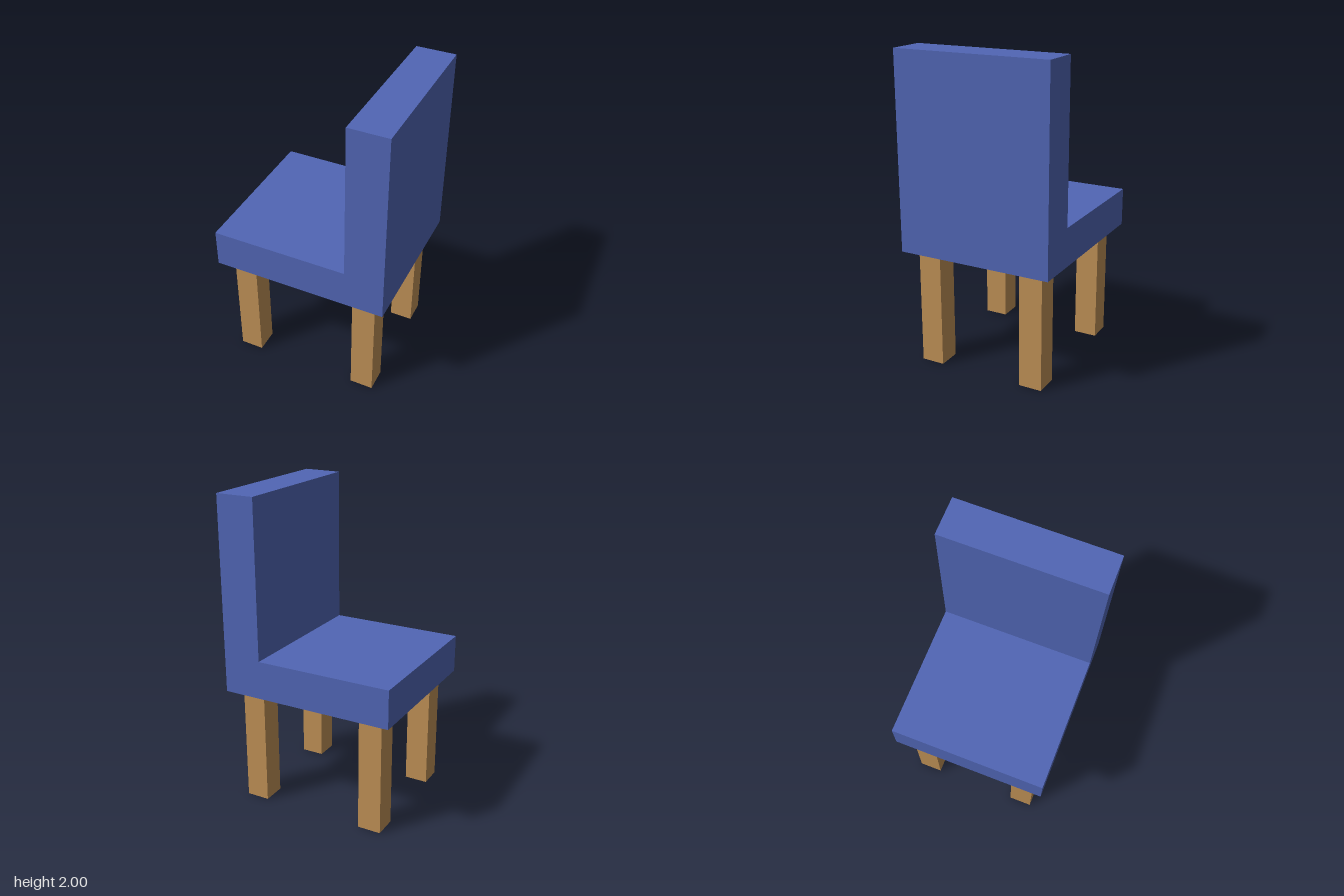
import * as THREE from 'three';

const DEPTH = 1, HALF = 0.5625, SEAT_BOTTOM = 0.755, SEAT_TOP = 1, BACK_FRONT = 0.3125, TOP = 2;
const LEG = 0.15, LEG_X = 0.41, LEG_Z = 0.35;

export function createModel() {
  const chair = new THREE.Group();
  chair.name = 'chair';
  const blue = new THREE.MeshStandardMaterial({ color: 0x5166b5, flatShading: true });
  const wood = new THREE.MeshStandardMaterial({ color: 0xbf9056, flatShading: true });

  // Seat and backrest: one L-shaped profile, extruded across the chair's width
  const profile = new THREE.Shape([
    [-HALF, SEAT_BOTTOM], [HALF, SEAT_BOTTOM], [HALF, TOP],
    [BACK_FRONT, TOP], [BACK_FRONT, SEAT_TOP], [-HALF, SEAT_TOP],
  ].map(([x, y]) => new THREE.Vector2(x, y)));
  const bodyGeometry = new THREE.ExtrudeGeometry(profile, { depth: DEPTH, bevelEnabled: false });
  bodyGeometry.translate(0, 0, -DEPTH / 2);
  const body = new THREE.Mesh(bodyGeometry, blue);
  body.name = 'seatAndBackrest';
  chair.add(body);

  // Four square legs
  const legs = new THREE.Group();
  legs.name = 'legs';
  const legGeometry = new THREE.BoxGeometry(LEG, SEAT_BOTTOM, LEG);
  for (const sx of [-1, 1]) {
    for (const sz of [-1, 1]) {
      const leg = new THREE.Mesh(legGeometry, wood);
      leg.name = (sx > 0 ? 'backrestSide' : 'seatEdge') + (sz > 0 ? 'Front' : 'Rear') + 'Leg';
      leg.position.set(sx * LEG_X, SEAT_BOTTOM / 2, sz * LEG_Z);
      legs.add(leg);
    }
  }
  chair.add(legs);
  return chair;
}
